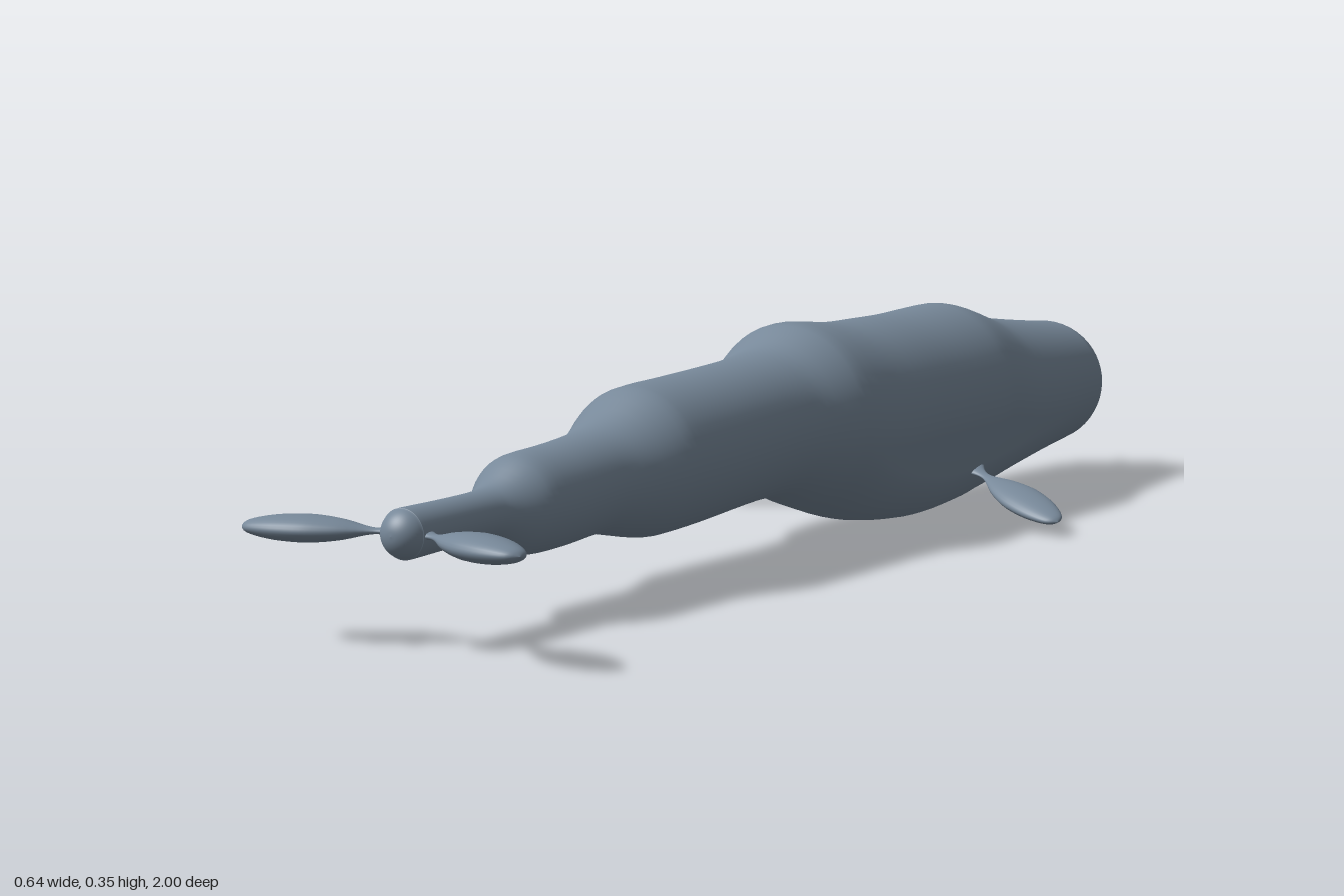
import * as THREE from 'three';

const skin = new THREE.MeshStandardMaterial({ color: 0x778899 });
skin.name = 'slate grey skin';

// Round tail stations: z, top, bottom
const tail = [
  [0.83, 0.199, 0.13], [0.745, 0.2, 0.13], [0.715, 0.208, 0.123], [0.68, 0.23, 0.103],
  [0.65, 0.24, 0.095], [0.58, 0.243, 0.095], [0.49, 0.25, 0.1], [0.44, 0.264, 0.092],
  [0.38, 0.295, 0.08], [0.34, 0.302, 0.077], [0.25, 0.304, 0.08], [0.12, 0.308, 0.088],
];

// Trunk stations: z, top, bottom, half width
const trunk = [
  [0.05, 0.312, 0.09, 0.111], [0, 0.32, 0.086, 0.119], [-0.05, 0.342, 0.072, 0.137],
  [-0.09, 0.35, 0.058, 0.147], [-0.2, 0.338, 0.025, 0.146], [-0.3, 0.335, 0.009, 0.144],
  [-0.4, 0.333, 0.002, 0.143], [-0.5, 0.335, 0.008, 0.144], [-0.55, 0.334, 0.015, 0.141],
  [-0.61, 0.318, 0.023, 0.134], [-0.68, 0.298, 0.034, 0.126], [-0.8, 0.281, 0.05, 0.115],
];

// Hemispherical end, from its rim outward to its pole
function cap(z, y, radius, direction) {
  return Array.from({ length: 7 }, (_, k) => {
    const a = (k / 6) * Math.PI / 2, r = radius * Math.cos(a);
    return [z + direction * radius * Math.sin(a), y + r, y - r];
  });
}

// Body skin: each ring wraps a back circle and a slightly smaller belly circle
function bodyGeometry() {
  const stations = [
    ...cap(0.914, 0.164, 0.036, 1).reverse(), ...tail, ...trunk, ...cap(-0.895, 0.165, 0.105, -1),
  ];
  const outline = new THREE.CatmullRomCurve3(
    stations.map(([z, top, bottom]) => new THREE.Vector3(z, top, bottom)), false, 'catmullrom');
  const widths = new THREE.CatmullRomCurve3(
    stations.map(([, top, bottom, w = (top - bottom) / 2]) => new THREE.Vector3(w, 0, 0)),
    false, 'catmullrom');
  const rings = (stations.length - 1) * 3, sides = 48;
  const positions = [], index = [];
  for (let i = 0; i <= rings; i++) {
    const { x: z, y: top, z: bottom } = outline.getPoint(i / rings);
    const height = top - bottom;
    const back = Math.min(widths.getPoint(i / rings).x, height / 2);
    const belly = back - 0.4 * (height - 2 * back);
    for (let j = 0; j < sides; j++) {
      const a = (j / sides) * Math.PI * 2, s = Math.sin(a);
      // The circles' shared tangent lies at a sine of -0.4 / 1.4
      const upper = s > -0.286;
      const r = upper ? back : belly;
      positions.push(r * Math.cos(a), (upper ? top - back : bottom + belly) + r * s, z);
      if (i === rings) continue;
      const p = i * sides + j, q = i * sides + (j + 1) % sides;
      index.push(p, p + sides, q, q, p + sides, q + sides);
    }
  }
  const geometry = new THREE.BufferGeometry();
  geometry.setAttribute('position', new THREE.Float32BufferAttribute(positions, 3));
  geometry.setIndex(index);
  geometry.computeVertexNormals();
  return geometry;
}

// Leaf-shaped blade with a thin neck, laid from root to tip
const bladeProfile = new THREE.SplineCurve([
  [0.55, 0], [0.32, 0.06], [0.22, 0.13], [0.34, 0.21], [0.72, 0.35], [0.95, 0.5],
  [1, 0.62], [0.9, 0.77], [0.65, 0.9], [0.38, 0.97], [0, 1],
].map(([r, y]) => new THREE.Vector2(r, y)));

function blade(name, root, tip, width, thickness, roll) {
  const start = new THREE.Vector3(...root);
  const along = new THREE.Vector3(...tip).sub(start);
  const length = along.length();
  along.normalize();
  const normal = new THREE.Vector3(0, Math.cos(roll), Math.sin(roll));
  normal.addScaledVector(along, -normal.dot(along)).normalize();
  const across = new THREE.Vector3().crossVectors(along, normal);
  const geometry = new THREE.LatheGeometry(bladeProfile.getPoints(30), 28);
  geometry.scale(width, length, thickness);
  geometry.applyMatrix4(new THREE.Matrix4().makeBasis(across, along, normal).setPosition(start));
  const mesh = new THREE.Mesh(geometry, skin);
  mesh.name = name;
  return mesh;
}

export function createModel() {
  const model = new THREE.Group();
  model.name = 'whale';
  const body = new THREE.Mesh(bodyGeometry(), skin);
  body.name = 'body';
  model.add(body);

  // Tail flukes
  for (const [side, name] of [[1, 'leftFluke'], [-1, 'rightFluke']]) {
    model.add(blade(name, [side * 0.02, 0.163, 0.905], [side * 0.233, 0.163, 0.978], 0.039, 0.019, 0));
  }

  // Side fins, each rolled differently
  model.add(blade('leftFin', [0.11, 0.078, -0.465], [0.317, 0.024, -0.363], 0.034, 0.014, 0.25));
  model.add(blade('rightFin', [-0.11, 0.076, -0.465], [-0.317, 0.03, -0.363], 0.038, 0.014, 0.8));
  return model;
}
